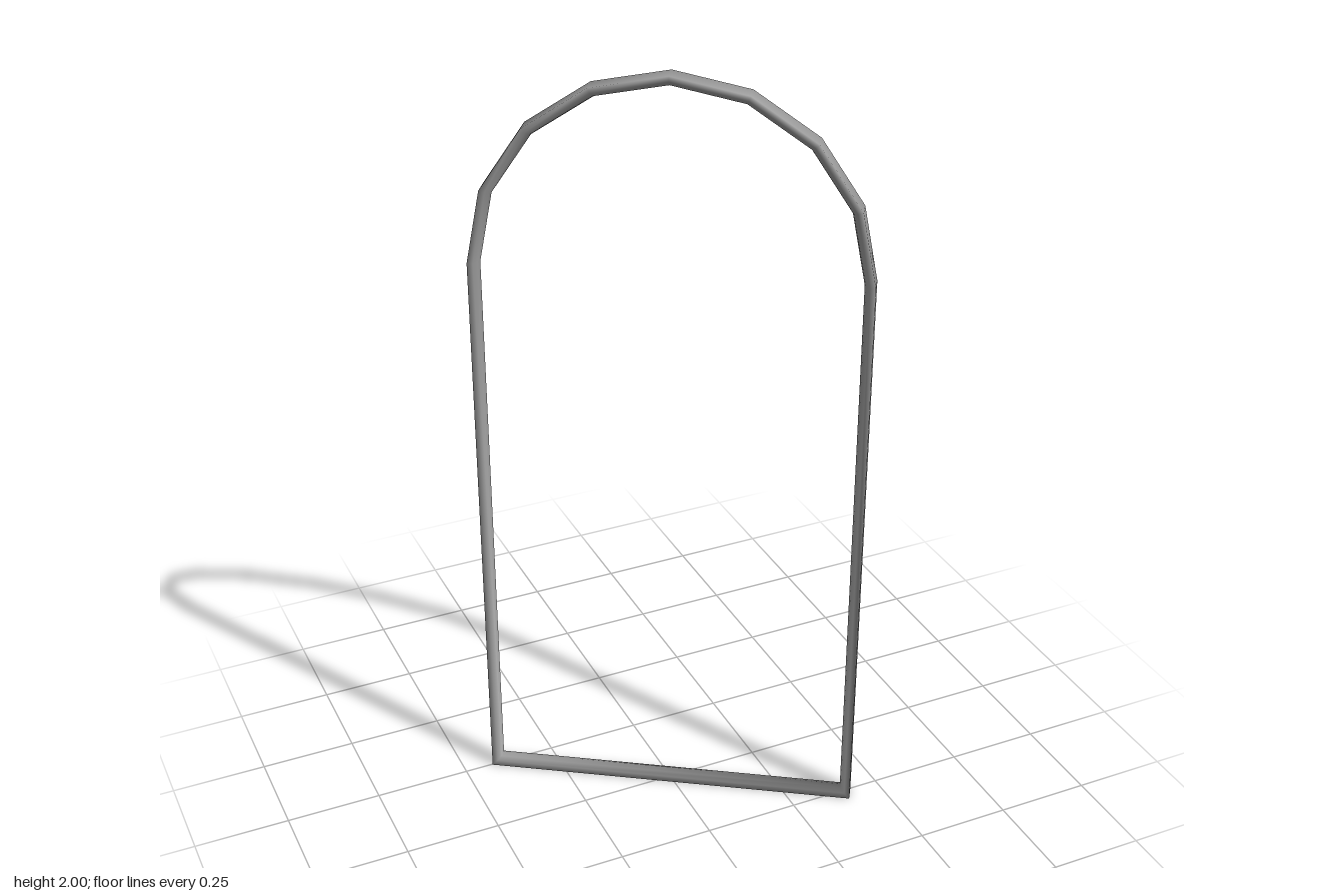
import * as THREE from 'three';

const HALF = 0.491;    // half width of the frame in its own plane
const SPRING = 1.51;   // height where the arch starts
const R = 0.0235;      // half the bar's width across the frame
const T = 0.028;       // bar thickness towards the opening

// Closed outer outline, counter-clockwise: sill, posts and an eight-sided arch
function outline() {
  const points = [new THREE.Vector2(-HALF, 0), new THREE.Vector2(HALF, 0)];
  for (let i = 0; i <= 8; i++) {
    const a = (i / 8) * Math.PI;
    points.push(new THREE.Vector2(0.488 * Math.cos(a), SPRING + (2 - SPRING) * Math.sin(a)));
  }
  return points;
}

// Half-round bar swept along the outline, flat outside, mitred at every corner
function sweepBar(path) {
  const section = [];
  for (let j = 0; j <= 6; j++) {
    const a = Math.PI - (j / 6) * Math.PI;
    section.push([R * Math.cos(a), T * Math.sin(a)]);
  }
  const n = path.length, m = section.length;
  const positions = [], index = [];
  path.forEach((p, i) => {
    const before = p.clone().sub(path[(i + n - 1) % n]).normalize();
    const after = path[(i + 1) % n].clone().sub(p).normalize();
    const n1 = new THREE.Vector2(-before.y, before.x);
    const n2 = new THREE.Vector2(-after.y, after.x);
    const mitre = n1.clone().add(n2).divideScalar(1 + n1.dot(n2));
    for (const [side, depth] of section) {
      positions.push(p.x + mitre.x * depth, p.y + mitre.y * depth, side);
    }
    for (let j = 0; j < m; j++) {
      const a = i * m + j, c = i * m + (j + 1) % m;
      const b = ((i + 1) % n) * m + j, d = ((i + 1) % n) * m + (j + 1) % m;
      index.push(a, c, b, b, c, d);
    }
  });
  const geometry = new THREE.BufferGeometry();
  geometry.setAttribute('position', new THREE.Float32BufferAttribute(positions, 3));
  geometry.setIndex(index);
  geometry.computeVertexNormals();
  return geometry;
}

export function createModel() {
  const model = new THREE.Group();
  model.name = 'archedFrame';
  const grey = new THREE.MeshStandardMaterial({ color: 0x999999 });
  grey.name = 'grey metal';

  const frame = new THREE.Mesh(sweepBar(outline()), grey);
  frame.name = 'archedWindowFrame';
  // The frame stands turned about the vertical axis
  frame.rotation.y = -Math.atan2(0.535, 0.823);
  model.add(frame);
  return model;
}
